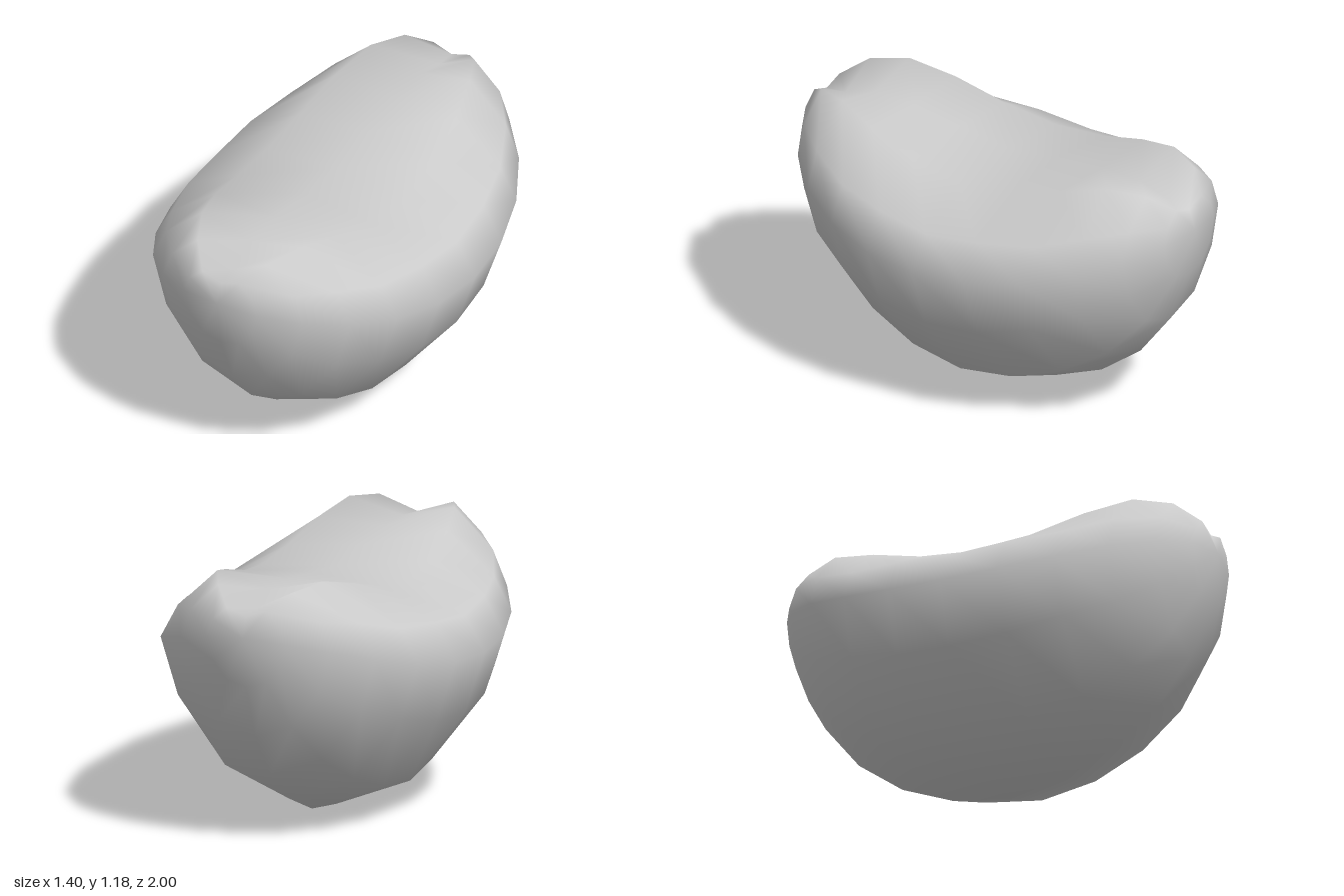
import * as THREE from 'three';

// Heights of the half cross-sections, keel (0) to crown (180 degrees) in 30 degree steps,
// from the middle ring out towards a tip in 15 degree steps
const SECTIONS = [
  [0.00, 0.14, 0.47, 0.745, 0.90, 1.03, 1.06],
  [0.04, 0.175, 0.49, 0.76, 0.925, 1.06, 1.09],
  [0.14, 0.26, 0.55, 0.80, 0.95, 1.13, 1.12],
  [0.295, 0.385, 0.62, 0.857, 1.01, 1.18, 1.12],
  [0.50, 0.56, 0.73, 0.91, 1.04, 1.16, 1.07],
  [0.745, 0.77, 0.85, 0.95, 1.03, 1.09, 1.06],
];
const TIP_HEIGHT = 0.97, HALF_WIDTH = 0.7, SIDES = 12, REACH = 5;

// Curved bean body: rings along z, mirrored left to right and front to back
function beanGeometry() {
  const positions = [], index = [];
  for (let i = -REACH; i <= REACH; i++) {
    const t = i * Math.PI / 12;
    for (let j = 0; j < SIDES; j++) {
      const a = j * 2 * Math.PI / SIDES;
      const y = SECTIONS[Math.abs(i)][Math.min(j, SIDES - j)];
      positions.push(HALF_WIDTH * Math.cos(t) * Math.sin(a), y, Math.sin(t));
    }
  }
  const rings = 2 * REACH + 1, back = rings * SIDES, front = back + 1;
  positions.push(0, TIP_HEIGHT, -1, 0, TIP_HEIGHT, 1);
  const at = (i, j) => i * SIDES + j % SIDES;

  for (let j = 0; j < SIDES; j++) {
    // Skin between neighbouring rings
    for (let i = 0; i < rings - 1; i++) {
      index.push(at(i, j), at(i, j + 1), at(i + 1, j + 1));
      index.push(at(i, j), at(i + 1, j + 1), at(i + 1, j));
    }
    // Pointed ends
    index.push(back, at(0, j + 1), at(0, j));
    index.push(front, at(rings - 1, j), at(rings - 1, j + 1));
  }
  const geometry = new THREE.BufferGeometry();
  geometry.setAttribute('position', new THREE.Float32BufferAttribute(positions, 3));
  geometry.setIndex(index);
  geometry.computeVertexNormals();
  return geometry;
}

export function createModel() {
  const group = new THREE.Group();
  group.name = 'bean';
  const body = new THREE.Mesh(beanGeometry(), new THREE.MeshStandardMaterial({ color: 0xcccccc }));
  body.name = 'beanBody';
  group.add(body);
  return group;
}
